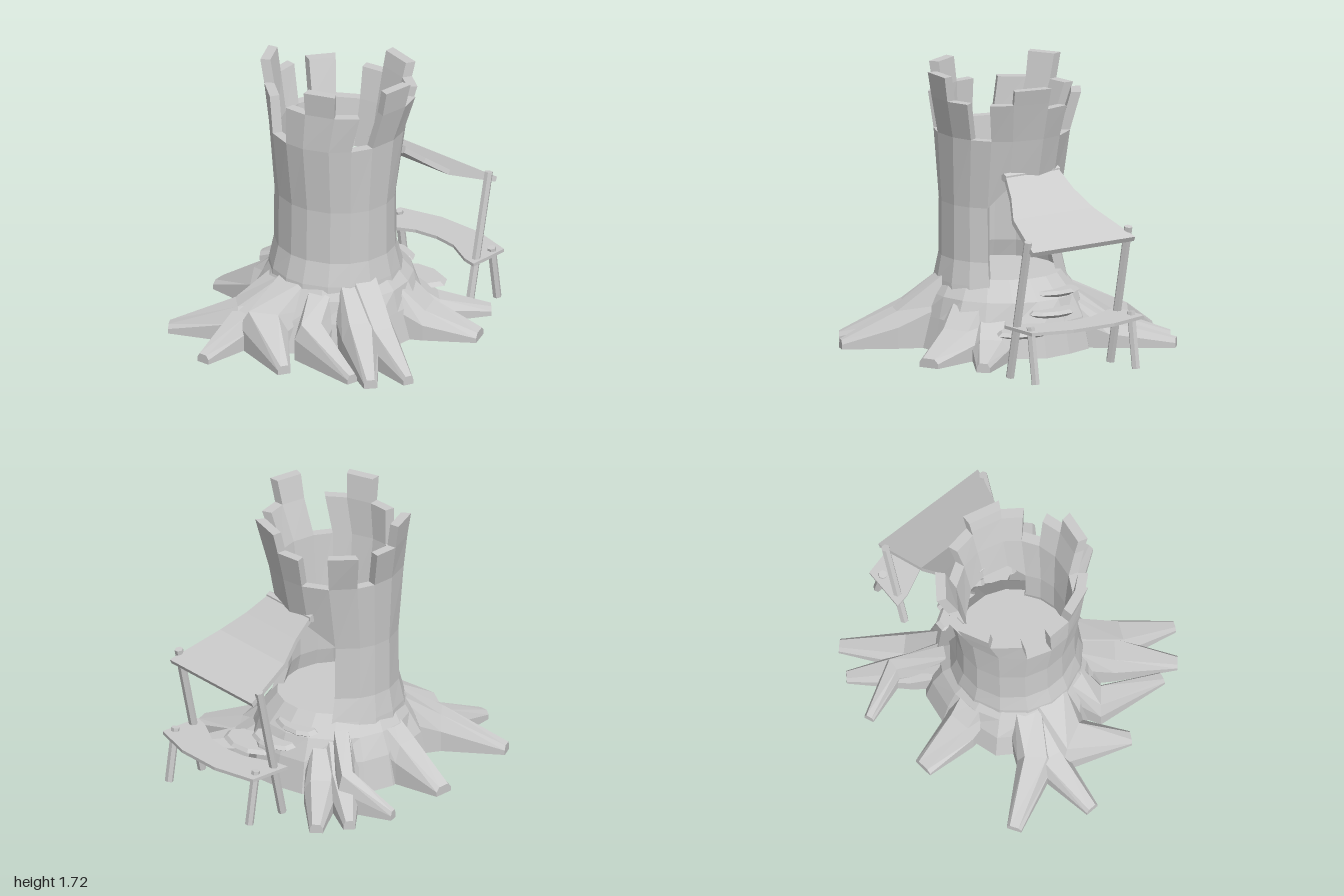
import * as THREE from 'three';

const mat = new THREE.MeshStandardMaterial({ color: 0xcccccc, flatShading: true });
const matThin = new THREE.MeshStandardMaterial({ color: 0xcccccc, flatShading: true, side: THREE.DoubleSide });
const V = (x, y, z) => new THREE.Vector3(x, y, z);
const RAD = Math.PI / 180;

// Skin a row of equal-sized closed cross-sections and cap both ends
function loft(sections) {
  const n = sections[0].length, pos = [];
  const tri = (...p) => p.forEach(v => pos.push(v.x, v.y, v.z));
  for (let j = 0; j < sections.length - 1; j++) {
    const s = sections[j], t = sections[j + 1];
    for (let i = 0; i < n; i++) {
      const k = (i + 1) % n;
      tri(s[i], s[k], t[k]);
      tri(s[i], t[k], t[i]);
    }
  }
  const a = sections[0], b = sections[sections.length - 1];
  for (let i = 1; i < n - 1; i++) {
    tri(a[0], a[i + 1], a[i]);
    tri(b[0], b[i], b[i + 1]);
  }
  const g = new THREE.BufferGeometry();
  g.setAttribute('position', new THREE.Float32BufferAttribute(pos, 3));
  g.computeVertexNormals();
  return g;
}

function add(parent, name, geometry, material = mat) {
  const m = new THREE.Mesh(geometry, material);
  m.name = name;
  parent.add(m);
  return m;
}

// Straight six-sided pole between two points
function pole(parent, name, a, b, r) {
  const m = add(parent, name, new THREE.CylinderGeometry(r, r, a.distanceTo(b), 6));
  m.position.copy(a).add(b).multiplyScalar(0.5);
  m.quaternion.setFromUnitVectors(V(0, 1, 0), b.clone().sub(a).normalize());
}

// Trunk profile: height, x radius, z radius, x centre
const PROFILE = [
  [0.3, 0.44, 0.42, 0], [0.46, 0.395, 0.4, -0.025], [0.6, 0.35, 0.375, -0.03], [0.93, 0.343, 0.375, -0.03],
  [1.35, 0.41, 0.405, -0.01], [1.58, 0.435, 0.47, 0.02], [1.73, 0.465, 0.5, 0.03],
];

function trunkPoint(y, deg, inset) {
  let i = 0;
  while (i < PROFILE.length - 2 && y > PROFILE[i + 1][0]) i++;
  const p = PROFILE[i], q = PROFILE[i + 1], t = (y - p[0]) / (q[0] - p[0]);
  const f = k => p[k] + (q[k] - p[k]) * t;
  return V(f(3) + Math.cos(deg * RAD) * (f(1) - inset), y, -0.02 + Math.sin(deg * RAD) * (f(2) - inset));
}

// Underside of the doorway arch at an angle away from +x
const archHeight = off => 0.93 + 0.13 * Math.min(1, (46 - off) / 18);

function buildTrunk(root) {
  const trunk = new THREE.Group();
  trunk.name = 'hollowTrunk';
  root.add(trunk);
  // Wall staves: start angle from +x towards +z, broken rim height
  const staves = [
    [0, 1.67], [28, 1.58], [46, 1.35], [64, 1.58], [83, 1.73], [107, 1.35], [126, 1.58], [145, 1.73],
    [168, 1.58], [186, 1.35], [208, 1.58], [232, 1.73], [256, 1.58], [276, 1.35], [292, 1.58], [316, 1.35],
    [340, 1.54], [360, 0],
  ];
  for (let k = 0; k < staves.length - 1; k++) {
    const [a0, top] = staves[k], a1 = staves[k + 1][0];
    const off0 = Math.min(a0, 360 - a0), off1 = Math.min(a1, 360 - a1);
    const door = off0 <= 46 && off1 <= 46;
    const b0 = door ? archHeight(off0) : 0.3, b1 = door ? archHeight(off1) : 0.3;
    const ys = [...PROFILE.map(p => p[0]).filter(y => y > Math.max(b0, b1) && y < top), top];
    const levels = [[b0, b1], ...ys.map(y => [y, y])];
    add(trunk, 'wallStave', loft(levels.map(([y0, y1]) => [
      trunkPoint(y1, a1, 0), trunkPoint(y0, a0, 0), trunkPoint(y0, a0, 0.06), trunkPoint(y1, a1, 0.06),
    ])));
  }
}

function buildBase(root) {
  // Flared foot whose top is the floor inside the trunk
  const rings = [[0.06, 0.53], [0.25, 0.49], [0.38, 0.44], [0.5, 0.355]];
  add(root, 'flaredBase', loft(rings.map(([y, r], j) =>
    Array.from({ length: 18 }, (_, i) => {
      const a = -(i + 0.5) * 20 * RAD;
      const rr = r * (1 + (j < 2 ? 0.04 * Math.sin(i * 2.3) : 0));
      return V(Math.cos(a) * rr * 1.03 - (j > 2 ? 0.02 : 0), y, -0.02 + Math.sin(a) * rr);
    }))));

  // Roots: knee x,z, tip x,z, half width at knee, half width at tip, knee height, height at trunk
  const roots = [
    [-0.13, -0.53, -0.16, -0.83, 0.11, 0.06, 0.3, 0.44],
    [0.4, -0.61, 0.28, -0.89, 0.065, 0.03, 0.29, 0.42],
    [0.36, -0.52, 0.57, -0.83, 0.1, 0.035, 0.24, 0.42],
    [0.48, -0.46, 0.75, -0.74, 0.1, 0.04, 0.21, 0.38],
    [-0.58, -0.31, -0.8, -0.65, 0.11, 0.045, 0.28, 0.44],
    [-0.63, -0.23, -0.99, -0.21, 0.1, 0.042, 0.26, 0.43],
    [-0.62, -0.06, -0.78, 0.25, 0.15, 0.04, 0.3, 0.45],
    [-0.52, 0.23, -0.6, 0.63, 0.1, 0.035, 0.29, 0.43],
    [-0.35, 0.47, -0.58, 0.76, 0.11, 0.04, 0.31, 0.46],
    [-0.27, 0.58, -0.39, 0.89, 0.1, 0.032, 0.28, 0.47],
    [0.23, 0.5, 0.35, 0.79, 0.14, 0.065, 0.23, 0.38],
    [0.43, 0.39, 0.65, 0.61, 0.11, 0.04, 0.19, 0.33],
  ];
  const section = (p, d, w, h) => {
    const s = V(-d.z, 0, d.x).normalize();
    const at = (k, y) => V(p.x + s.x * k, y, p.z + s.z * k);
    return [at(-w * 0.6, h), at(w * 0.6, h), at(w, h * 0.6 + 0.02), at(w, 0.06), at(-w, 0.06), at(-w, h * 0.6 + 0.02)];
  };
  roots.forEach(([kx, kz, tx, tz, w, tw, kh, th]) => {
    const knee = V(kx, 0, kz), tip = V(tx, 0, tz);
    const start = knee.clone().normalize().multiplyScalar(0.35);
    const d0 = knee.clone().sub(start).normalize(), d1 = tip.clone().sub(knee).normalize();
    add(root, 'root', loft([
      section(start, d0, w * 1.15, th + 0.03),
      section(knee, d0.clone().add(d1), w, kh),
      section(tip, d1, tw, 0.115),
    ]));
  });
}

function buildSteps(root) {
  // Shelf fungus stepping up to the doorway: centre, x radius, z radius
  const steps = [[0.49, 0.22, 0.18, 0.12, 0.2], [0.48, 0.315, -0.03, 0.1, 0.17], [0.38, 0.41, -0.12, 0.09, 0.17]];
  for (const [x, y, z, rx, rz] of steps) {
    const cap = add(root, 'fungusStep', new THREE.CylinderGeometry(0.85, 1, 0.5, 9));
    cap.scale.set(rx, 0.04, rz);
    cap.position.set(x, y + 0.01, z);
    const under = add(root, 'fungusUnderside', new THREE.CylinderGeometry(1, 0.7, 0.5, 9));
    under.scale.set(rx, 0.04, rz);
    under.position.set(x, y - 0.01, z);
  }
}

function buildStall(root) {
  const stall = new THREE.Group();
  stall.name = 'stall';
  root.add(stall);

  // Posts on both sides
  for (const z of [0.42, -0.32]) {
    pole(stall, 'awningPost', V(0.66, 0.01, z), V(0.84, 0.86, z), 0.026);
    pole(stall, 'counterLeg', V(0.915, 0.01, z), V(0.865, 0.35, z), 0.026);
  }

  // Sagging awning: x, y, back z, front z
  const path = [[0.31, 1.135, -0.18, 0.2], [0.45, 1.025, -0.2, 0.26], [0.58, 0.925, -0.25, 0.34], [0.895, 0.793, -0.325, 0.43]];
  add(stall, 'awning', loft(path.map(([x, y, z0, z1]) => {
    const ox = 0.007, oy = 0.014;
    return [V(x + ox, y + oy, z0), V(x + ox, y + oy, z1), V(x - ox, y - oy, z1), V(x - ox, y - oy, z0)];
  })), matThin);
  pole(stall, 'awningRail', V(0.315, 1.13, -0.19), V(0.315, 1.13, 0.21), 0.026);

  // Crescent counter, drawn in plan (x, -z) and laid flat
  const outline = [[0.66, 0.37], [0.68, 0.28], [0.77, 0.1], [0.79, -0.05], [0.77, -0.2], [0.68, -0.37],
    [0.66, -0.46], [0.93, -0.46], [1.0, -0.2], [1.0, 0.1], [0.93, 0.37]];
  const shape = new THREE.Shape(outline.map(p => new THREE.Vector2(...p)));
  const g = new THREE.ExtrudeGeometry(shape, { depth: 0.02, bevelEnabled: false });
  g.rotateX(-Math.PI / 2);
  add(stall, 'counter', g).position.y = 0.31;
}

export function createModel() {
  const root = new THREE.Group();
  root.name = 'treeStumpStall';
  buildTrunk(root);
  buildBase(root);
  buildSteps(root);
  buildStall(root);
  return root;
}
